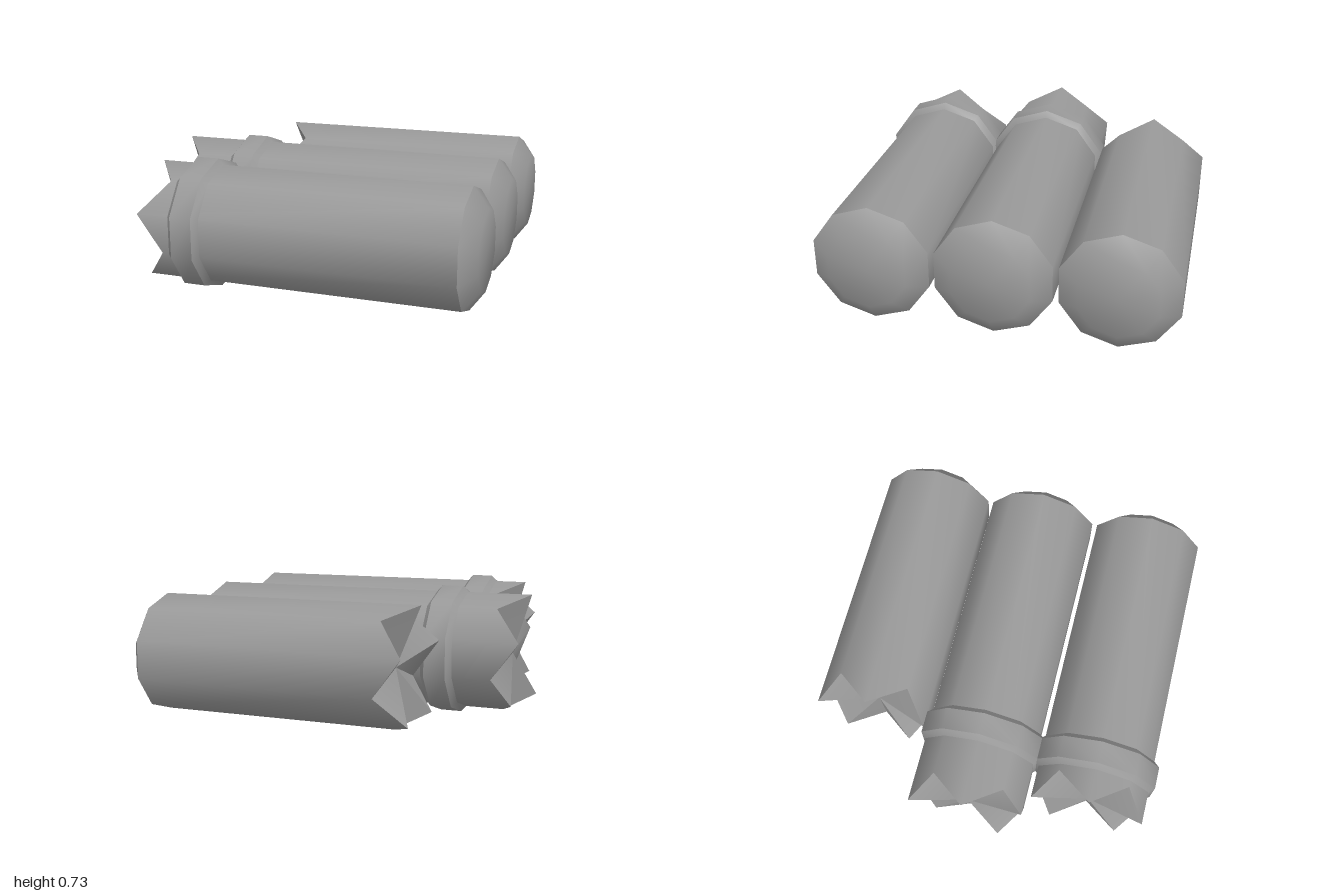
import * as THREE from 'three';
import { toCreasedNormals } from 'three/addons/utils/BufferGeometryUtils.js';

const SIDES = 10, RADIUS = 0.33, AXIS_Y = 0.363;
const material = new THREE.MeshStandardMaterial({ color: 0x999999 });

// Skin ten-sided cross-sections along x; each section is { r, x }, where x may depend on the side index.
function skin(sections) {
  const positions = [];
  const point = ({ r, x }, i) => {
    const k = i % SIDES, a = (k / SIDES) * Math.PI * 2;
    return [typeof x === 'function' ? x(k) : x, r * Math.cos(a), r * Math.sin(a)];
  };
  for (let s = 0; s < sections.length - 1; s++) {
    const A = sections[s], B = sections[s + 1];
    for (let i = 0; i < SIDES; i++) {
      const a0 = point(A, i), a1 = point(A, i + 1), b0 = point(B, i), b1 = point(B, i + 1);
      if (A.r > 0) positions.push(...a0, ...a1, ...b0);
      if (B.r > 0) positions.push(...a1, ...b1, ...b0);
    }
  }
  const geometry = new THREE.BufferGeometry();
  geometry.setAttribute('position', new THREE.Float32BufferAttribute(positions, 3));
  return toCreasedNormals(geometry, 0.75);
}

// Log with a jagged broken end at -x and a bevelled end at +x;
// shortTeeth maps a side index to how far that tooth is cut back.
function logGeometry(tipX, centreX, shortTeeth) {
  const rim = (k) => tipX + (k % 2 ? 0.148 : shortTeeth[k] ?? 0);
  return skin([
    { r: 0, x: centreX },
    { r: RADIUS, x: rim },
    { r: RADIUS, x: 0.92 },
    { r: 0.22, x: 1 },
    { r: 0, x: 1 },
  ]);
}

// Raised band with bevelled edges
function bandGeometry() {
  return skin([
    { r: RADIUS - 0.002, x: -0.638 },
    { r: 0.363, x: -0.607 },
    { r: 0.363, x: -0.486 },
    { r: RADIUS - 0.002, x: -0.455 },
  ]);
}

export function createModel() {
  const model = new THREE.Group();
  model.name = 'logs';
  const logs = [
    { name: 'frontLog', z: 0.643, tipX: -0.82, centreX: -0.73, band: true, shortTeeth: {} },
    { name: 'middleLog', z: -0.015, tipX: -1, centreX: -0.9, band: true, shortTeeth: { 2: 0.07, 6: 0.06 } },
    { name: 'backLog', z: -0.674, tipX: -0.575, centreX: -0.44, band: false, shortTeeth: {} },
  ];
  for (const { name, z, tipX, centreX, band, shortTeeth } of logs) {
    const group = new THREE.Group();
    group.name = name;
    group.position.set(0, AXIS_Y, z);
    const trunk = new THREE.Mesh(logGeometry(tipX, centreX, shortTeeth), material);
    trunk.name = 'trunk';
    group.add(trunk);
    if (band) {
      const ring = new THREE.Mesh(bandGeometry(), material);
      ring.name = 'band';
      group.add(ring);
    }
    model.add(group);
  }
  return model;
}
